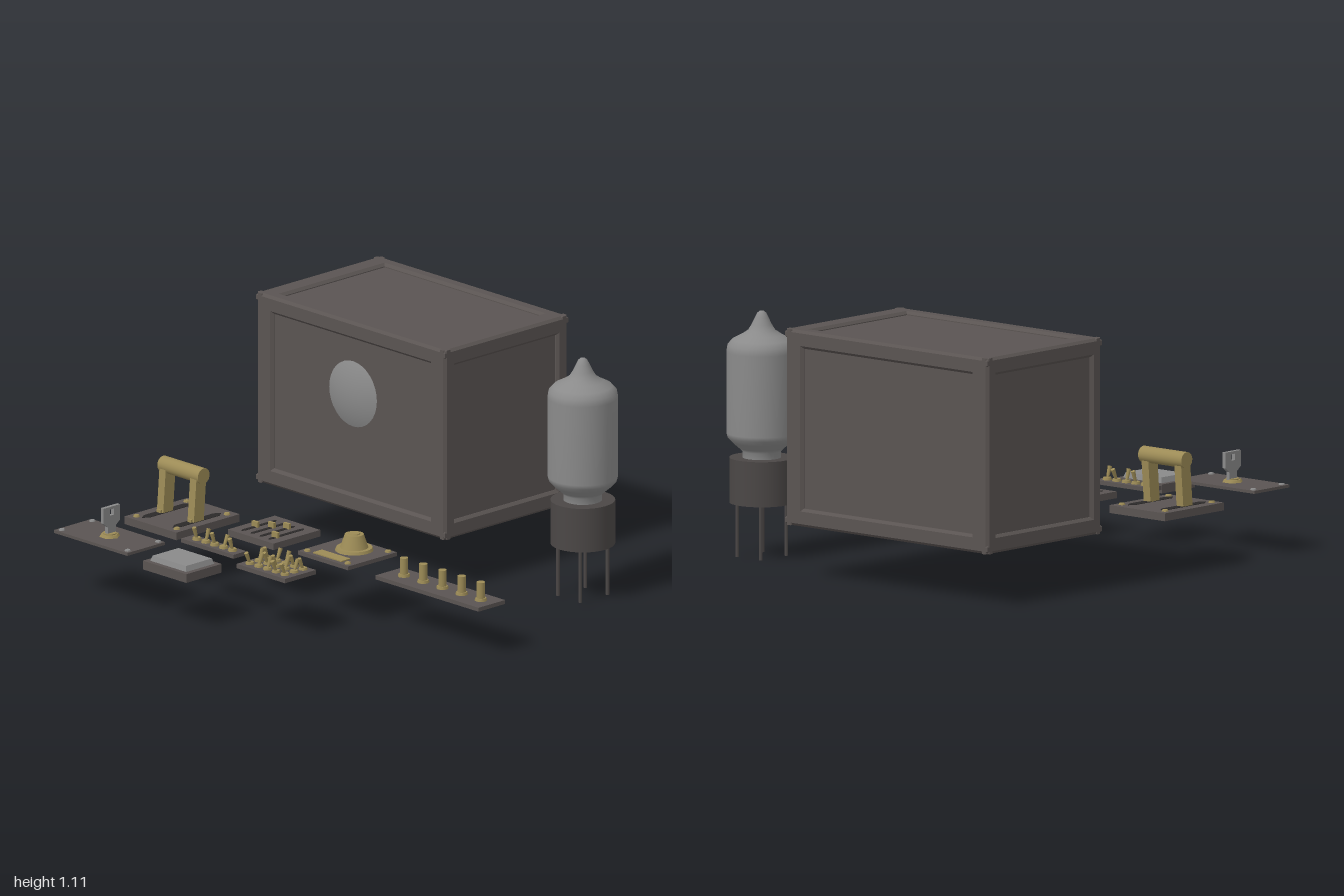
import * as THREE from 'three';

const mat = (name, color) => new THREE.MeshStandardMaterial({ name, color });

export function createModel() {
  const root = new THREE.Group();
  root.name = 'switchAndBulbSet';
  const casing = mat('dark casing', 0x5a5452);
  const socketDark = mat('socket dark', 0x4b4746);
  const slotBlack = mat('slot black', 0x2b2929);
  const grey = mat('light grey', 0x8a8a8a);
  const brass = mat('brass', 0x9c8b56);

  const group = (name, parent = root) => {
    const g = new THREE.Group();
    g.name = name;
    parent.add(g);
    return g;
  };
  const add = (parent, name, geo, m, x = 0, y = 0, z = 0) => {
    const mesh = new THREE.Mesh(geo, m);
    mesh.name = name;
    mesh.position.set(x, y, z);
    parent.add(mesh);
    return mesh;
  };
  // box given by its limits
  const slab = (parent, name, m, x0, x1, y0, y1, z0, z1) =>
    add(parent, name, new THREE.BoxGeometry(x1 - x0, y1 - y0, z1 - z0), m,
      (x0 + x1) / 2, (y0 + y1) / 2, (z0 + z1) / 2);
  // upright cylinder standing on y
  const post = (parent, name, m, rTop, rBottom, h, x, y, z, sides = 12) =>
    add(parent, name, new THREE.CylinderGeometry(rTop, rBottom, h, sides), m, x, y + h / 2, z);
  const rect = (Type, w, h) => {
    const p = new Type();
    p.moveTo(-w / 2, -h / 2);
    p.lineTo(w / 2, -h / 2);
    p.lineTo(w / 2, h / 2);
    p.lineTo(-w / 2, h / 2);
    p.closePath();
    return p;
  };

  // Large case: core box with a chamfered frame on each face
  const W = 0.75, H = 0.87, D = 1.19, bev = 0.012;
  const box = group('largeCase');
  box.position.set(0.625, 0.67, -0.395);
  add(box, 'casePanels', new THREE.BoxGeometry(W - 0.032, H - 0.032, D - 0.032), casing);
  const inX = 0.065, inY = 0.08, inZ = 0.1;
  const frame = (w, h, iw, ih, dist, rx, ry) => {
    const shape = rect(THREE.Shape, w, h);
    shape.holes.push(rect(THREE.Path, w - 2 * iw, h - 2 * ih));
    const geo = new THREE.ExtrudeGeometry(shape, {
      depth: 0.02, bevelThickness: bev, bevelSize: bev, bevelOffset: -bev, bevelSegments: 1,
    });
    geo.translate(0, 0, dist - 0.02 - bev);
    add(box, 'caseFrame', geo, casing).rotation.set(rx, ry, 0);
  };
  for (const s of [1, -1]) {
    frame(W, H, inX, inY, D / 2, 0, s > 0 ? 0 : Math.PI);
    frame(D, H, inZ, inY, W / 2, 0, s * Math.PI / 2);
    frame(W, D, inX, inZ, H / 2, -s * Math.PI / 2, 0);
  }

  // Shallow dome on the case's side
  const dome = add(root, 'domeButton',
    new THREE.SphereGeometry(0.39, 32, 8, 0, Math.PI * 2, 0, Math.asin(0.15 / 0.39)), grey, 0.625, 0.77, -0.395);
  dome.rotation.z = Math.PI / 2;

  // Glass bulb with socket and four pins
  const bulb = group('bulb');
  bulb.position.set(0.653, 0, 0.65);
  const lathe = (pts) => new THREE.LatheGeometry(pts.map(([r, y]) => new THREE.Vector2(r, y)), 32);
  add(bulb, 'glass', lathe([[0.085, 0.43], [0.085, 0.468], [0.1, 0.482], [0.13, 0.508], [0.15, 0.53],
    [0.155, 0.55], [0.155, 0.91], [0.15, 0.94], [0.13, 0.963], [0.09, 0.984], [0.06, 1.004], [0.044, 1.03],
    [0.03, 1.06], [0.02, 1.08], [0.01, 1.088], [0, 1.09]]), grey);
  post(bulb, 'socket', socketDark, 0.142, 0.142, 0.2, 0, 0.24, 0, 32);
  for (const sx of [-1, 1]) for (const sz of [-1, 1])
    post(bulb, 'pin', socketDark, 0.008, 0.008, 0.25, sx * 0.083, 0, sz * 0.07, 8);

  const screws = (parent, m, xs, y, zs) => {
    for (const x of xs) for (const z of zs) post(parent, 'screw', m, 0.012, 0.016, 0.01, x, y, z, 8);
  };
  // long slot with pointed ends, as a thin plate
  const slot = (parent, x0, x1, y, z, r) => {
    const s = new THREE.Shape();
    s.moveTo(x0, 0);
    s.lineTo(x0 + r * 1.5, -r);
    s.lineTo(x1 - r * 1.5, -r);
    s.lineTo(x1, 0);
    s.lineTo(x1 - r * 1.5, r);
    s.lineTo(x0 + r * 1.5, r);
    const geo = new THREE.ExtrudeGeometry(s, { depth: 0.004, bevelEnabled: false });
    add(parent, 'slot', geo.rotateX(-Math.PI / 2), slotBlack, 0, y - 0.002, z);
  };
  // small tilted toggle with its nut
  const toggle = (parent, x, y, z, tilt) => {
    post(parent, 'toggleNut', brass, 0.018, 0.021, 0.012, x, y, z, 8);
    const geo = new THREE.CylinderGeometry(0.01, 0.006, 0.06, 8).translate(0, 0.03, 0);
    add(parent, 'toggleStick', geo, brass, x, y + 0.002, z).rotation.z = tilt;
  };

  // Key switch
  const key = group('keySwitch');
  slab(key, 'keyPlate', casing, -1, -0.77, 0.28, 0.293, -0.97, -0.507);
  screws(key, grey, [-0.975, -0.79], 0.289, [-0.945, -0.53]);
  post(key, 'keyholeNut', brass, 0.04, 0.048, 0.014, -0.885, 0.291, -0.737, 6);
  post(key, 'keyholeCore', brass, 0.03, 0.03, 0.01, -0.885, 0.3, -0.737, 16);
  const ks = new THREE.Shape([[-0.025, 0.29], [0.025, 0.29], [0.025, 0.34], [0.05, 0.36], [0.05, 0.43],
    [-0.05, 0.43], [-0.05, 0.36], [-0.025, 0.34]].map(([x, y]) => new THREE.Vector2(x, y)));
  ks.holes.push(new THREE.Path([[-0.012, 0.39], [-0.012, 0.418], [0.012, 0.418], [0.012, 0.39]]
    .map(([x, y]) => new THREE.Vector2(x, y))));
  add(key, 'key', new THREE.ExtrudeGeometry(ks, { depth: 0.018, bevelEnabled: false }), grey, -0.88, 0, -0.746);

  // Square push button with a bevelled cap
  const push = group('pushButton');
  slab(push, 'buttonPlate', casing, -0.965, -0.75, 0.225, 0.265, -0.445, -0.172);
  const cap = new THREE.CylinderGeometry(0.92 * Math.SQRT1_2, Math.SQRT1_2, 1, 4).rotateY(Math.PI / 4).toNonIndexed();
  cap.computeVertexNormals();
  add(push, 'buttonCap', cap, grey, -0.857, 0.276, -0.309).scale.set(0.172, 0.026, 0.228);

  // Strip of five toggles
  const strip = group('toggleStrip');
  slab(strip, 'stripPlate', casing, -0.655, -0.577, 0.262, 0.28, -0.525, -0.195);
  [0.3, -0.3, 0.3, -0.45, 0.3].forEach((t, i) => toggle(strip, -0.617, 0.28, -0.465 + i * 0.056, t));

  // Bank of fifteen toggles
  const bank = group('toggleBank');
  slab(bank, 'bankPlate', casing, -0.745, -0.557, 0.265, 0.285, -0.082, 0.222);
  for (let r = 0; r < 5; r++) for (let c = 0; c < 3; c++)
    toggle(bank, -0.703 + c * 0.055, 0.283, -0.042 + r * 0.055, (r * 3 + c * 2) % 4 < 2 ? 0.4 : -0.4);

  // Rotary dial
  const dial = group('rotaryDial');
  slab(dial, 'dialPlate', casing, -0.417, -0.12, 0.265, 0.283, -0.035, 0.28);
  slab(dial, 'dialLabel', brass, -0.395, -0.34, 0.281, 0.288, 0.035, 0.215);
  screws(dial, brass, [-0.39, -0.145], 0.281, [-0.005, 0.25]);
  post(dial, 'dialRing', brass, 0.08, 0.085, 0.014, -0.23, 0.282, 0.125, 24);
  post(dial, 'dialKnob', brass, 0.042, 0.062, 0.06, -0.23, 0.296, 0.125, 24);
  post(dial, 'dialCentre', brass, 0.025, 0.027, 0.006, -0.23, 0.355, 0.125, 24);

  // Four sliders
  const sliders = group('sliders');
  slab(sliders, 'sliderPlate', casing, -0.417, -0.132, 0.25, 0.28, -0.477, -0.19);
  [-0.303, -0.26, -0.222, -0.347].forEach((x, i) => {
    const z = -0.42 + i * 0.057;
    slot(sliders, -0.39, -0.175, 0.28, z, 0.009);
    slab(sliders, 'sliderKnob', brass, x - 0.007, x + 0.007, 0.278, 0.305, z - 0.018, z + 0.018);
  });

  // Large lever
  const lever = group('lever');
  slab(lever, 'leverPlate', casing, -0.58, -0.195, 0.23, 0.265, -0.96, -0.633);
  screws(lever, brass, [-0.543, -0.238], 0.263, [-0.922, -0.668]);
  for (const z of [-0.89, -0.697]) {
    slot(lever, -0.54, -0.245, 0.265, z, 0.02);
    slab(lever, 'leverStop', brass, -0.44, -0.415, 0.263, 0.28, z - 0.012, z + 0.012);
    const arm = slab(lever, 'leverArm', brass, -0.423, -0.363, 0.25, 0.48, z - 0.02, z + 0.02);
    arm.rotation.z = -0.08;
  }
  const grip = add(lever, 'leverGrip', new THREE.CylinderGeometry(0.036, 0.036, 0.255, 24), brass, -0.382, 0.473, -0.793);
  grip.rotation.x = Math.PI / 2;

  // Strip of five plugs
  const plugs = group('plugStrip');
  slab(plugs, 'plugPlate', casing, -0.305, -0.143, 0.212, 0.23, 0.335, 0.985);
  for (let i = 0; i < 5; i++) {
    const z = 0.43 + i * 0.121;
    post(plugs, 'plugNut', brass, 0.025, 0.028, 0.014, -0.222, 0.228, z, 8);
    post(plugs, 'plugPost', brass, 0.019, 0.019, 0.085, -0.222, 0.23, z, 12);
  }
  return root;
}
